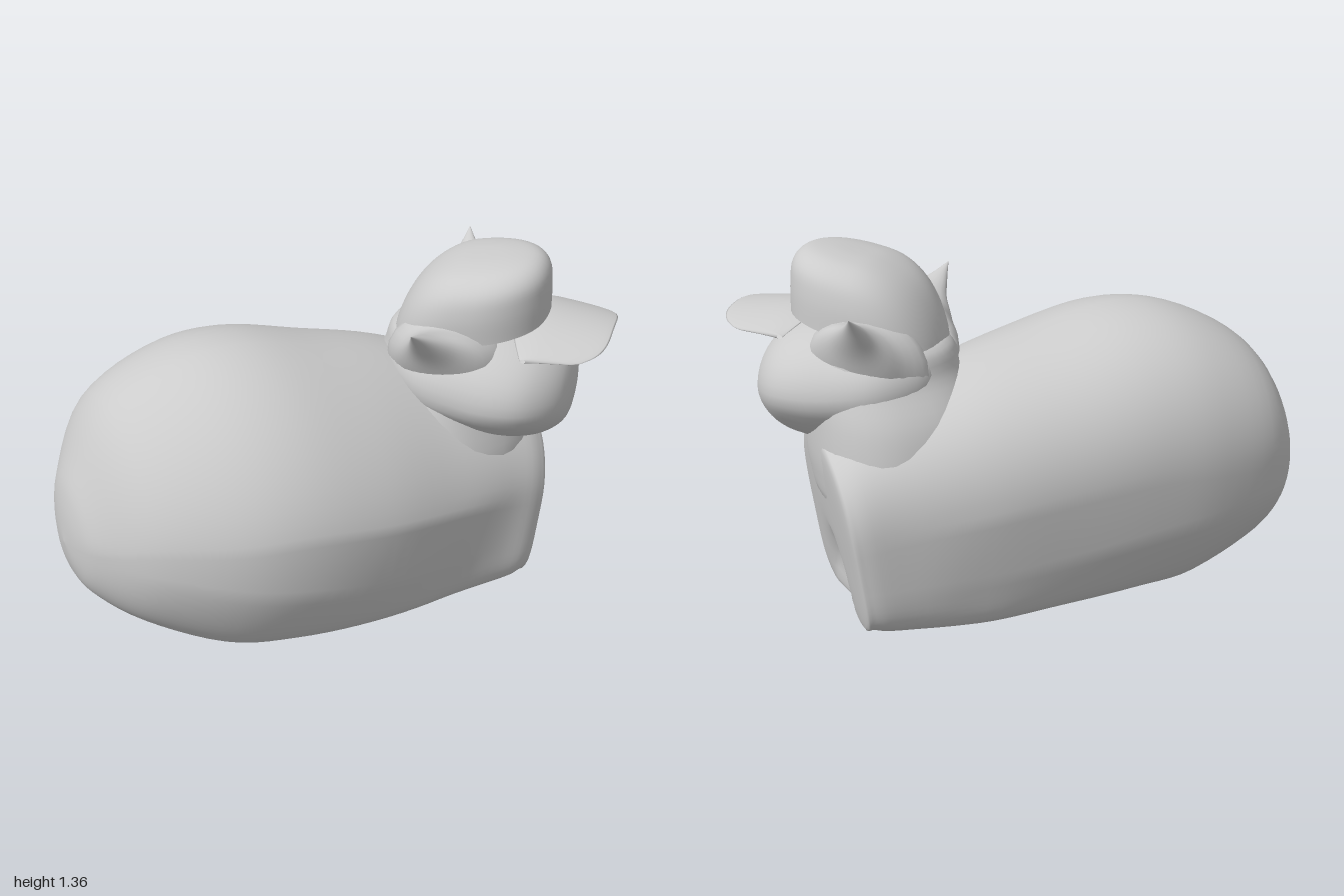
import * as THREE from 'three';

const grey = new THREE.MeshStandardMaterial({ color: 0xcccccc });
const greyThin = new THREE.MeshStandardMaterial({ color: 0xcccccc, side: THREE.DoubleSide });
const { smoothstep } = THREE.MathUtils;

// Smooth closed skin over superellipse rings along an axis (0 x, 1 y, 2 z).
// Station: [position, centre1, centre2, radius1, radius2]; the two cross axes follow cyclically.
function loft(axis, stations, { expo = () => 2, steps = 5, sides = 40, bend = null, hole = null } = {}) {
  const curves = stations[0].map((_, k) =>
    new THREE.SplineCurve(stations.map((s, i) => new THREE.Vector2(i, s[k]))));
  const rows = (stations.length - 1) * steps;
  const pos = [], index = [];
  for (let i = 0; i <= rows; i++) {
    const [t, c1, c2, r1, r2] = curves.map((c) => c.getPoint(i / rows).y);
    for (let j = 0; j < sides; j++) {
      const a = (j / sides) * Math.PI * 2, c = Math.cos(a), s = Math.sin(a);
      const e = 2 / expo(c, s, i / rows);
      const p = [0, 0, 0];
      p[axis] = t;
      p[(axis + 1) % 3] = c1 + Math.max(r1, 0) * Math.sign(c) * Math.abs(c) ** e;
      p[(axis + 2) % 3] = c2 + Math.max(r2, 0) * Math.sign(s) * Math.abs(s) ** e;
      const v = new THREE.Vector3(...p);
      if (bend) bend(v);
      pos.push(v.x, v.y, v.z);
    }
  }
  for (let i = 0; i < rows; i++) for (let j = 0; j < sides; j++) {
    if (hole && hole(i, j)) continue;
    const k = (j + 1) % sides, p = i * sides + j, q = i * sides + k;
    index.push(p, q, p + sides, q, q + sides, p + sides);
  }
  const g = new THREE.BufferGeometry();
  g.setAttribute('position', new THREE.Float32BufferAttribute(pos, 3));
  g.setIndex(index);
  g.computeVertexNormals();
  return g;
}

function add(parent, name, geometry, material = grey) {
  const mesh = new THREE.Mesh(geometry, material);
  mesh.name = name;
  parent.add(mesh);
  return mesh;
}

export function createModel() {
  const model = new THREE.Group();
  model.name = 'restingCat';

  // Long body with a flat underside, running on into the blunt chest
  add(model, 'body', loft(0, [
    [-1, 0.43, -0.16, 0, 0],
    [-0.985, 0.45, -0.16, 0.12, 0.11],
    [-0.94, 0.47, -0.16, 0.23, 0.22],
    [-0.8, 0.535, -0.13, 0.4, 0.39],
    [-0.55, 0.56, -0.07, 0.52, 0.5],
    [-0.3, 0.57, -0.03, 0.54, 0.53],
    [0, 0.53, -0.01, 0.51, 0.51],
    [0.3, 0.48, -0.01, 0.475, 0.455],
    [0.53, 0.43, 0.01, 0.405, 0.39],
    [0.66, 0.4, 0.02, 0.35, 0.365],
    [0.7, 0.38, 0.02, 0.3, 0.31],
    [0.71, 0.37, 0.02, 0, 0],
  ], {
    sides: 64,
    expo: (c, s, t) => (c < 0 ? 2.6 + 3 * smoothstep(t, 0.2, 0.65) : s > 0 ? 1.8 : 2.05) + (c < 0 ? 0 : 0.4 * smoothstep(t, 0.6, 0.8)),
    bend: (v) => {
      const front = smoothstep(v.x, 0.3, 0.68);
      // back leans over to one side, flanks taper in towards the floor
      v.z -= (1 - front) * 0.12 * Math.max(0, v.y - 0.5);
      v.z *= 1 - 0.16 * (1 - front) * (1 - smoothstep(v.y, 0.1, 0.5));
      // chest leans forward and turns aside; dent between the tucked paws
      const dent = Math.exp(-(((v.z - 0.03) / 0.09) ** 2) - ((v.y - 0.17) / 0.12) ** 2);
      v.x += front * (0.15 * (v.y - 0.1) - 0.1 * v.z - 0.08 * dent);
    },
  }));

  // Neck rising out of the chest
  add(model, 'neck', loft(1, [
    [0.45, 0, 0.45, 0, 0],
    [0.46, 0, 0.45, 0.3, 0.28],
    [0.6, 0.01, 0.475, 0.345, 0.315],
    [0.8, 0.01, 0.49, 0.315, 0.305],
    [0.95, 0.035, 0.515, 0.26, 0.27],
    [1.06, 0.055, 0.53, 0.23, 0.235],
    [1.08, 0.055, 0.53, 0, 0],
  ], {
    expo: () => 2.3,
    bend: (v) => { v.x -= 0.1 * v.z * Math.max(0, 1 - v.y); },
  }));

  // Head turned half way to the side; its local +z is the face
  const head = new THREE.Group();
  head.name = 'head';
  head.position.set(0.51, 0.9, 0.05);
  head.rotation.set(0, Math.PI / 4, 0.06);
  model.add(head);

  // Skull, broad cheeks and blunt muzzle
  add(head, 'face', loft(2, [
    [-0.25, 0, 0.04, 0, 0],
    [-0.23, 0, 0.04, 0.16, 0.11],
    [-0.1, 0, 0.02, 0.29, 0.2],
    [0.1, 0, -0.01, 0.33, 0.24],
    [0.25, 0, -0.02, 0.32, 0.225],
    [0.35, 0, -0.03, 0.26, 0.19],
    [0.42, 0, -0.04, 0.15, 0.12],
    [0.44, 0, -0.04, 0, 0],
  ], {
    expo: () => 2,
    // jaw narrows downwards
    bend: (v) => { v.x *= 1 + 1.2 * Math.min(0, v.y + 0.05); },
  }));

  // Pointed ears on wide roots blending into the head
  for (const side of [1, -1]) {
    const ear = add(head, side > 0 ? 'leftEar' : 'rightEar', loft(0, [
      [0.1, 0.06, -0.01, 0, 0],
      [0.12, 0.06, -0.01, 0.2, 0.22],
      [0.24, 0.13, 0, 0.13, 0.17],
      [0.31, 0.21, -0.03, 0.065, 0.085],
      [0.37, 0.27, -0.055, 0.03, 0.035],
      [0.43, 0.325, -0.07, 0, 0],
    ], { sides: 24 }));
    ear.scale.x = side;
  }

  // Cap, tilted down at the back
  const cap = new THREE.Group();
  cap.name = 'cap';
  cap.position.set(0, 0.19, 0.035);
  head.add(cap);

  // Crown, upright in front and rounded behind, with a slot above the rear strap
  add(cap, 'capCrown', loft(1, [
    [0, 0.01, 0, 0.285, 0.24],
    [0.1, 0.015, 0, 0.28, 0.24],
    [0.18, 0.03, 0, 0.255, 0.22],
    [0.23, 0.04, 0, 0.2, 0.165],
    [0.25, 0.05, 0, 0.1, 0.085],
    [0.254, 0.05, 0, 0, 0],
  ], {
    sides: 48,
    expo: () => 2.2,
    bend: (v) => { v.y += 0.17 * v.z - (v.z < 0 ? 1.4 * v.z * v.z : 0); },
    hole: (i, j) => (i === 2 || i === 3) && Math.abs(j - 23.5) < (i === 2 ? 4 : 3),
  }), greyThin);

  // Arched brim with rounded front corners, drooping slightly forward
  const brim = [];
  for (let k = -10; k <= 10; k++) {
    const u = k / 10;
    const inner = 0.17 + 0.07 * u * u;
    const outer = 0.26 + 0.27 * (1 - Math.abs(u) ** 4) ** 0.5;
    brim.push([0.24 * u, 0.052 - 0.07 * u * u, (inner + outer) / 2, 0.007, (outer - inner) / 2]);
  }
  add(cap, 'capBrim', loft(0, brim, {
    steps: 2,
    sides: 24,
    bend: (v) => { v.y -= 0.1 * Math.max(0, v.z - 0.28); },
  }), greyThin);

  return model;
}
